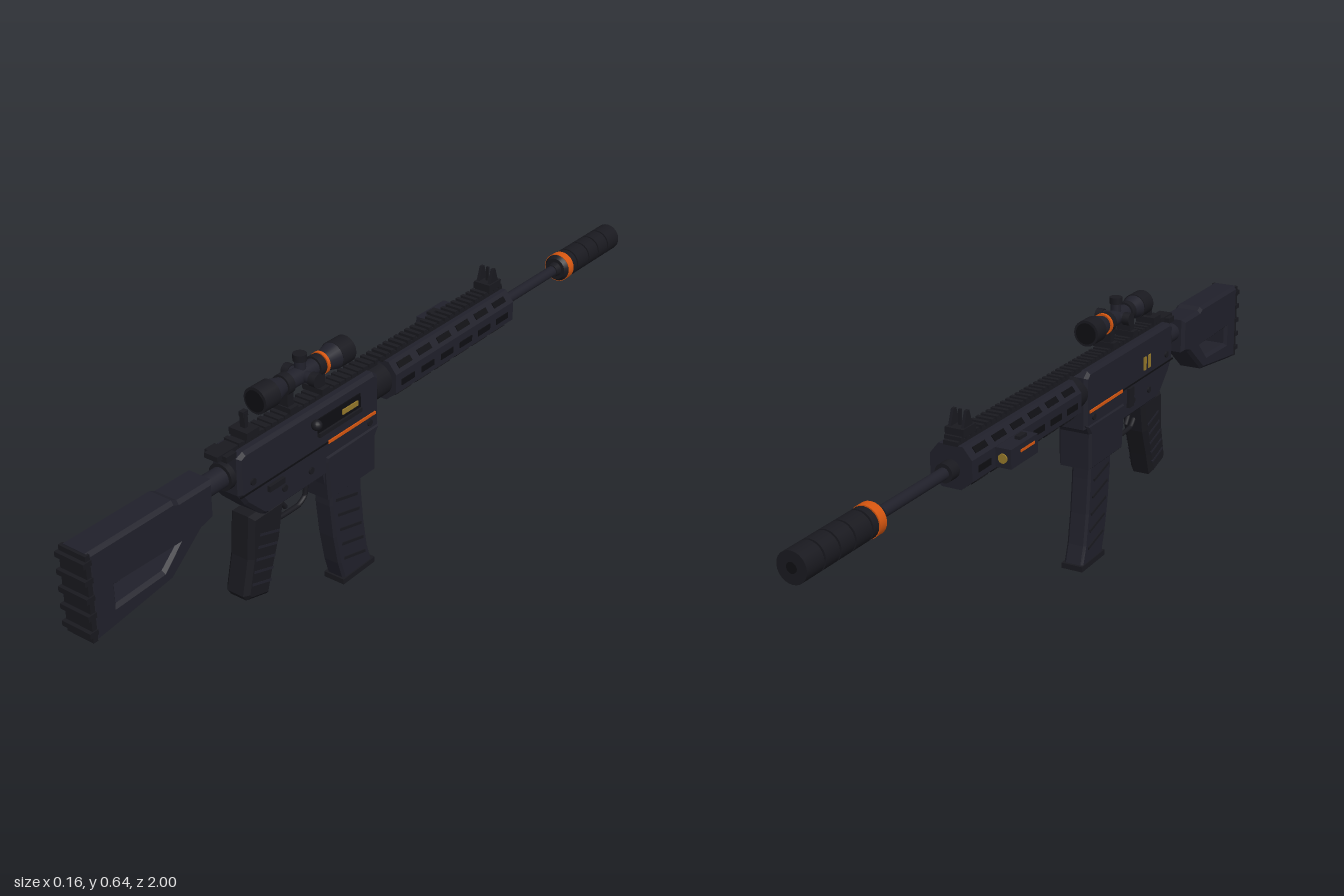
import * as THREE from 'three';

const paint = (name, color) => Object.assign(new THREE.MeshStandardMaterial({ color }), { name });

export function createModel() {
  const body = paint('gunmetal', 0x20202a);
  const dark = paint('darkPolymer', 0x19191f);
  const black = paint('recessBlack', 0x0e0e12);
  const orange = paint('orangeAccent', 0xd4550f);
  const gold = paint('brass', 0x94782a);

  const root = new THREE.Group();
  root.name = 'rifle';
  const axis = 0.013; // the body sits slightly off centre

  const add = (name, geo, mat) => {
    const m = new THREE.Mesh(geo, mat);
    m.name = name;
    m.position.x = axis;
    root.add(m);
    return m;
  };
  const boxGeo = (w, h, d, x, y, z, tilt = 0) =>
    new THREE.BoxGeometry(w, h, d).rotateX(tilt).translate(x, y, z);
  const box = (name, mat, ...a) => add(name, boxGeo(...a), mat);

  // Cylinder along z from z0 to z1 (z0 < z1)
  const tube = (name, mat, r0, r1, z0, z1, y, x = 0, n = 20) =>
    add(name, new THREE.CylinderGeometry(r1, r0, z1 - z0, n)
      .rotateX(Math.PI / 2).translate(x, y, (z0 + z1) / 2), mat);

  // Cylinder along x
  const pinGeo = (r, w, x, y, z) =>
    new THREE.CylinderGeometry(r, r, w, 14).rotateZ(Math.PI / 2).translate(x, y, z);

  // Side profile of [z, y] points, extruded across x with bevelled edges
  const side = (name, mat, pts, width, bevel = 0.006, holes = []) => {
    const V = p => p.map(q => new THREE.Vector2(...q));
    const s = new THREE.Shape(V(pts));
    holes.forEach(h => s.holes.push(new THREE.Path(V(h))));
    const depth = width - 2 * bevel;
    const g = new THREE.ExtrudeGeometry(s, {
      depth, bevelEnabled: bevel > 0, bevelSize: bevel, bevelThickness: bevel,
      bevelOffset: -bevel, bevelSegments: 1,
    });
    return add(name, g.translate(0, 0, -depth / 2).rotateY(-Math.PI / 2), mat);
  };

  // Stock with an open window
  side('stock', body,
    [[0.985, 0.3], [0.985, 0.505], [0.75, 0.505], [0.735, 0.498], [0.635, 0.498], [0.635, 0.41],
      [0.675, 0.4], [0.765, 0.327], [0.95, 0.303]], 0.074, 0.008,
    [[[0.92, 0.4], [0.92, 0.355], [0.79, 0.36], [0.745, 0.4]]]);
  box('buttPlate', dark, 0.072, 0.2, 0.012, 0, 0.403, 0.985);
  for (const y of [0.325, 0.365, 0.405, 0.445, 0.485])
    box('buttRidge', dark, 0.078, 0.012, 0.022, 0, y, 0.989);

  // Stock tube and collar
  tube('stockTube', body, 0.024, 0.024, 0.54, 0.64, 0.462);
  tube('stockCollar', dark, 0.032, 0.032, 0.55, 0.575, 0.462);

  // Receiver and magazine well
  side('receiver', body,
    [[0.56, 0.51], [0.56, 0.42], [0.54, 0.39], [0.49, 0.342], [0.475, 0.335], [0.28, 0.335], [0.27, 0.29],
      [0.1, 0.29], [0.1, 0.365], [0.083, 0.375], [0.083, 0.505], [0.1, 0.518], [0.54, 0.518]], 0.08, 0.008);
  side('magazineWell', body,
    [[0.28, 0.37], [0.27, 0.268], [0.1, 0.268], [0.1, 0.36], [0.085, 0.385], [0.28, 0.385]], 0.088, 0.006);
  for (const s of [-1, 1]) {
    box('orangeLine', orange, 0.004, 0.007, 0.17, s * 0.041, 0.418, 0.185);
    box('receiverSeam', black, 0.003, 0.004, 0.29, s * 0.04, 0.418, 0.415);
    for (const [z, y] of [[0.52, 0.44], [0.42, 0.375], [0.33, 0.375], [0.12, 0.4]])
      add('receiverPin', pinGeo(0.008, 0.006, s * 0.041, y, z), dark);
  }
  box('ejectionPort', black, 0.004, 0.034, 0.15, 0.041, 0.474, 0.23);
  box('brassBolt', gold, 0.004, 0.012, 0.055, 0.044, 0.473, 0.195);
  box('portCover', dark, 0.012, 0.01, 0.15, 0.042, 0.452, 0.23);
  box('selectorLever', dark, 0.01, 0.014, 0.05, 0.043, 0.4, 0.45);
  for (const z of [0.395, 0.42]) box('brassMark', gold, 0.004, 0.034, 0.012, -0.041, 0.452, z);
  box('boltCatch', dark, 0.01, 0.05, 0.025, -0.043, 0.39, 0.31);
  add('chargingArm', pinGeo(0.007, 0.03, 0.045, 0.487, 0.32), dark);
  add('chargingKnob', new THREE.SphereGeometry(0.0125, 14, 10).translate(0.051, 0.487, 0.32), dark);

  // Magazine, ribs and base plate
  side('magazine', body,
    [[0.245, 0.3], [0.243, 0.23], [0.232, 0.14], [0.216, 0.06], [0.2, 0.008], [0.092, 0.008],
      [0.108, 0.06], [0.121, 0.14], [0.13, 0.23], [0.133, 0.3]], 0.052, 0.006);
  for (let i = 0; i < 5; i++)
    box('magazineRib', dark, 0.057, 0.007, 0.08, 0, 0.06 + i * 0.043, 0.161 + i * 0.007, -0.25);
  box('magazineBase', dark, 0.058, 0.014, 0.12, 0, 0.007, 0.147);

  // Pistol grip
  side('pistolGrip', dark,
    [[0.52, 0.345], [0.528, 0.24], [0.548, 0.155], [0.538, 0.14], [0.47, 0.122], [0.452, 0.18],
      [0.425, 0.255], [0.408, 0.345]], 0.066, 0.011);
  for (let i = 0; i < 5; i++)
    box('gripRidge', body, 0.068, 0.006, 0.065, 0, 0.17 + i * 0.028, 0.497 - i * 0.008, -0.3);

  // Trigger and guard
  const bentRod = (name, segments, pts) => add(name, new THREE.TubeGeometry(
    new THREE.CatmullRomCurve3(pts.map(([z, y]) => new THREE.Vector3(0, y, z)), false, 'catmullrom', 0.2),
    segments, 0.006, 8), dark);
  bentRod('triggerGuard', 24, [[0.42, 0.29], [0.4, 0.272], [0.33, 0.27], [0.305, 0.285], [0.298, 0.34]]);
  bentRod('trigger', 10, [[0.385, 0.34], [0.388, 0.31], [0.373, 0.288]]);

  // Handguard: eight-sided section along z, with slots on the side faces
  const section = new THREE.Shape([[-0.024, 0.417], [0.024, 0.417], [0.052, 0.44], [0.052, 0.488],
    [0.03, 0.515], [-0.03, 0.515], [-0.052, 0.488], [-0.052, 0.44]].map(p => new THREE.Vector2(...p)));
  add('handguard', new THREE.ExtrudeGeometry(section, { depth: 0.485, bevelEnabled: false }).translate(0, 0, -0.45), body);
  tube('barrelNut', dark, 0.041, 0.041, 0.03, 0.09, 0.465);
  for (const s of [-1, 1])
    for (const [x, y, turn] of [[0.041, 0.5015, 0.684], [0.052, 0.462, 0], [0.038, 0.4285, -0.88]])
      for (let i = 0; i < 6; i++)
        add('handguardSlot', new THREE.BoxGeometry(0.004, 0.015, 0.05)
          .rotateZ(s * turn).translate(s * x, y, -0.01 - i * 0.078), black);

  // Top rail with teeth
  box('receiverRail', dark, 0.036, 0.012, 0.54, 0, 0.521, 0.33);
  box('handguardRail', dark, 0.036, 0.01, 0.49, 0, 0.518, -0.205);
  for (let z = 0.53; z > -0.44; z -= 0.021) box('railTooth', dark, 0.042, 0.009, 0.011, 0, 0.527, z);
  box('chargingHandle', dark, 0.06, 0.014, 0.03, 0, 0.517, 0.57);

  // Barrel and suppressor
  tube('barrel', body, 0.0135, 0.0135, -0.75, -0.44, 0.461);
  tube('gasCollar', dark, 0.022, 0.022, -0.48, -0.44, 0.461);
  tube('barrelShoulder', dark, 0.02, 0.016, -0.74, -0.715, 0.461);
  tube('suppressorCore', black, 0.031, 0.031, -0.997, -0.74, 0.461, 0, 24);
  tube('suppressorCollar', dark, 0.035, 0.028, -0.742, -0.732, 0.461, 0, 24);
  tube('orangeRing', orange, 0.0365, 0.0365, -0.765, -0.742, 0.461, 0, 24);
  for (const [a, b] of [[-0.785, -0.767], [-0.842, -0.79], [-0.891, -0.847], [-0.94, -0.896], [-0.999, -0.945]])
    tube('suppressorSleeve', dark, 0.035, 0.035, a, b, 0.461, 0, 24);
  tube('bore', black, 0.012, 0.012, -1, -0.99, 0.461);

  // Scope
  tube('scopeTube', body, 0.02, 0.02, 0.18, 0.42, 0.59, 0, 24);
  tube('eyepiece', dark, 0.031, 0.031, 0.41, 0.458, 0.59, 0, 24);
  tube('eyepieceTaper', body, 0.02, 0.029, 0.375, 0.41, 0.59, 0, 24);
  tube('objective', dark, 0.032, 0.032, 0.155, 0.2, 0.59, 0, 24);
  tube('objectiveTaper', body, 0.031, 0.022, 0.2, 0.238, 0.59, 0, 24);
  tube('scopeOrangeRing', orange, 0.0265, 0.0265, 0.238, 0.246, 0.59, 0, 24);
  tube('rearLens', black, 0.025, 0.025, 0.45, 0.46, 0.59, 0, 24);
  tube('frontLens', black, 0.026, 0.026, 0.153, 0.16, 0.59, 0, 24);
  for (const z of [0.258, 0.365]) {
    tube('scopeRing', dark, 0.025, 0.025, z - 0.01, z + 0.01, 0.59);
    box('scopeMount', dark, 0.036, 0.055, 0.02, 0, 0.555, z);
    box('mountClamp', dark, 0.056, 0.014, 0.026, 0, 0.537, z);
  }
  add('sideTurret', pinGeo(0.013, 0.075, 0, 0.59, 0.31), body);
  for (const x of [-0.033, 0.041]) add('turretCap', pinGeo(0.016, 0.018, x, 0.59, 0.31), dark);
  add('topTurret', new THREE.CylinderGeometry(0.012, 0.014, 0.04, 16).translate(0, 0.615, 0.31), body);
  add('topTurretCap', new THREE.CylinderGeometry(0.016, 0.016, 0.016, 16).translate(0, 0.633, 0.31), dark);

  // Iron sights
  box('rearSightBase', dark, 0.05, 0.016, 0.04, 0, 0.538, 0.495);
  box('rearSightPost', dark, 0.014, 0.04, 0.01, 0, 0.56, 0.495);
  box('rearSightPeep', dark, 0.012, 0.012, 0.016, 0, 0.578, 0.495);
  box('frontSightBase', dark, 0.046, 0.018, 0.05, 0, 0.538, -0.41);
  for (const s of [-1, 1])
    side('frontSightEar', dark, [[-0.39, 0.54], [-0.404, 0.582], [-0.414, 0.582], [-0.43, 0.54]], 0.007, 0)
      .position.x += s * 0.016;
  box('frontSightPost', dark, 0.006, 0.045, 0.006, 0, 0.56, -0.41);

  // Side light module
  box('lightModule', body, 0.04, 0.045, 0.115, -0.071, 0.465, -0.298);
  box('lightBracket', dark, 0.016, 0.03, 0.07, -0.05, 0.465, -0.298);
  box('lightButton', dark, 0.014, 0.01, 0.03, -0.071, 0.49, -0.28);
  box('lightStripe', orange, 0.003, 0.006, 0.06, -0.091, 0.472, -0.285);
  tube('lightLens', gold, 0.011, 0.011, -0.359, -0.353, 0.465, -0.071);

  return root;
}
